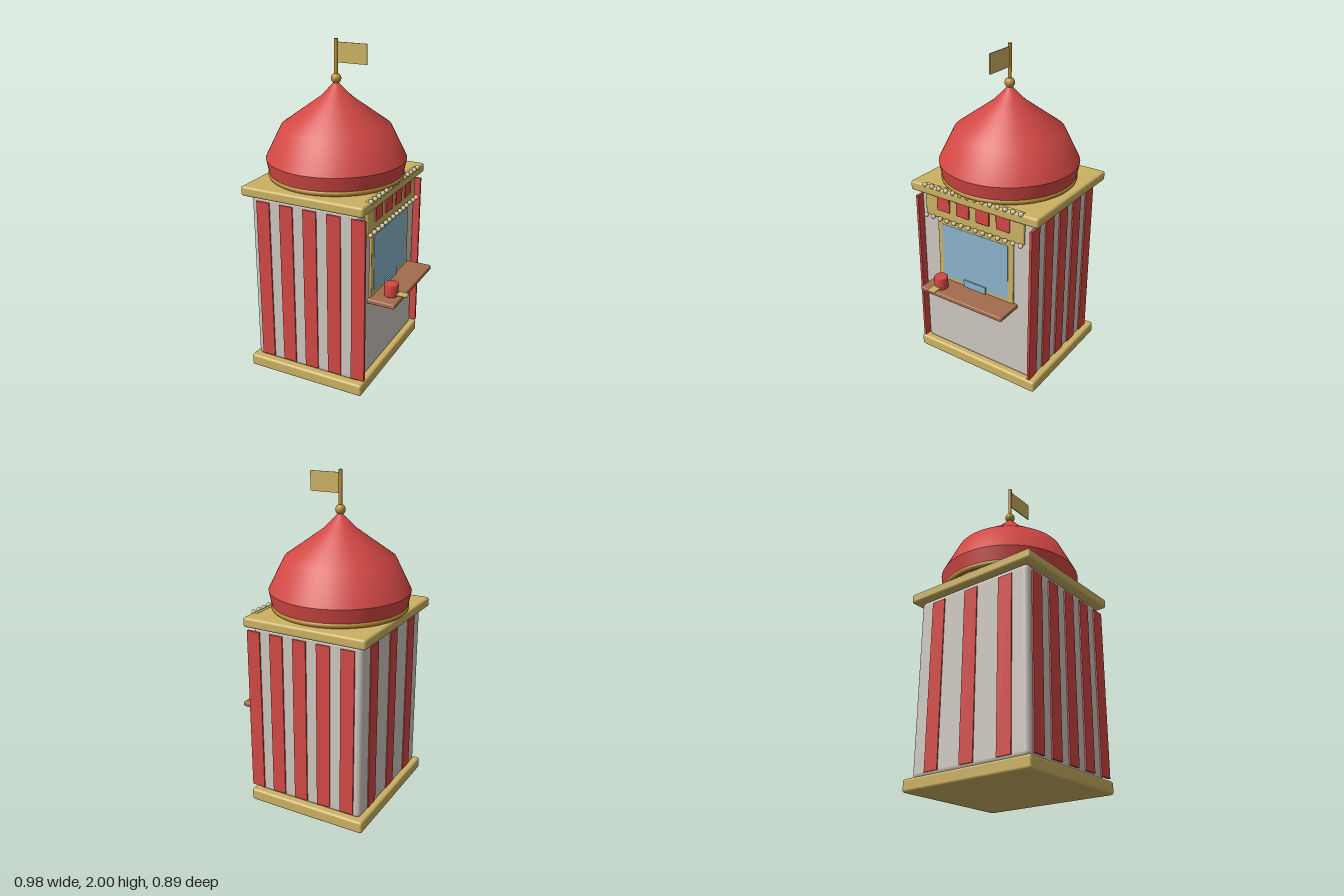
import * as THREE from 'three';
import { RoundedBoxGeometry } from 'three/addons/geometries/RoundedBoxGeometry.js';

const CX = -0.07; // centre line of the booth

function mat(name, color, side = THREE.FrontSide) {
  const m = new THREE.MeshStandardMaterial({ color, side });
  m.name = name;
  return m;
}

export function createModel() {
  const root = new THREE.Group();
  root.name = 'ticketBooth';

  const red = mat('red', 0xd24844);
  const cream = mat('warmWhite', 0xcdc7be);
  const paleGold = mat('paleGold', 0xcbb163);
  const gold = mat('gold', 0xb98f35);
  const blue = mat('glassBlue', 0x8ab4cc);
  const brown = mat('woodBrown', 0xa46c4c);
  const pearl = mat('bulbCream', 0xd2c7a0);

  const add = (name, geo, material, x, y, z, parent = root) => {
    const mesh = new THREE.Mesh(geo, material);
    mesh.name = name;
    mesh.position.set(x, y, z);
    parent.add(mesh);
    return mesh;
  };
  const group = (name) => {
    const g = new THREE.Group();
    g.name = name;
    root.add(g);
    return g;
  };
  // rounded box given by its lower and upper corners
  const block = (name, material, [x0, y0, z0], [x1, y1, z1], r, parent = root) =>
    add(name, new RoundedBoxGeometry(x1 - x0, y1 - y0, z1 - z0, 3, r), material,
      (x0 + x1) / 2, (y0 + y1) / 2, (z0 + z1) / 2, parent);

  // Base, walls and cornice
  block('base', paleGold, [-0.45, 0, -0.435], [0.31, 0.075, 0.435], 0.015);
  block('walls', cream, [-0.42, 0.07, -0.4], [0.28, 1.145, 0.4], 0.03);
  block('cornice', paleGold, [-0.46, 1.14, -0.445], [0.32, 1.2, 0.445], 0.015);

  // Painted stripes on the two sides and the rear wall
  const stripes = group('stripes');
  for (const s of [-1, 1]) {
    for (let i = 0; i < 5; i++) {
      add('sideStripe', new THREE.BoxGeometry(0.085, 1.015, 0.016), red,
        -0.337 + 0.153 * i, 0.603, s * 0.401, stripes);
    }
  }
  for (const z of [-0.25, 0, 0.25]) {
    add('rearStripe', new THREE.BoxGeometry(0.016, 1.015, 0.095), red, -0.418, 0.603, z, stripes);
  }

  // Domed roof: flared lower band and pointed crown
  const lathe = (pts) => new THREE.LatheGeometry(pts.map(([r, y]) => new THREE.Vector2(r, y)), 64);
  add('domeBand', lathe([[0.395, 1.2], [0.403, 1.235], [0.419, 1.315]]), red, CX, 0, 0);
  add('domeCrown', lathe([[0.419, 1.315], [0.325, 1.505], [0.095, 1.67], [0.012, 1.755], [0, 1.757]]),
    red, CX, 0, 0);
  const ring = add('domeRing', new THREE.TorusGeometry(0.39, 0.018, 12, 64), gold, CX, 1.218, 0);
  ring.rotation.x = Math.PI / 2;

  // Finial, pole and flag
  add('finialBall', new THREE.SphereGeometry(0.03, 20, 14), gold, CX, 1.777, 0);
  add('flagPole', new THREE.CylinderGeometry(0.011, 0.011, 0.25, 16), gold, CX, 1.875, 0);
  add('flag', new THREE.BoxGeometry(0.19, 0.115, 0.006), paleGold, 0.03, 1.925, 0);

  // Service window with a pass-through at the bottom
  block('windowFrame', paleGold, [0.26, 0.575, -0.27], [0.292, 1.02, 0.27], 0.006);
  add('windowGlass', new THREE.BoxGeometry(0.006, 0.36, 0.47), blue, 0.291, 0.78, 0);
  add('passThrough', new THREE.BoxGeometry(0.012, 0.045, 0.16), blue, 0.296, 0.602, 0);

  // Sign board with red panels and two rows of bulbs
  block('signBoard', paleGold, [0.283, 1.0, -0.347], [0.303, 1.205, 0.347], 0.008);
  const panels = group('signPanels');
  for (let i = 0; i < 4; i++) {
    add('signPanel', new RoundedBoxGeometry(0.014, 0.1, 0.092, 2, 0.005), red,
      0.305, 1.104, -0.21 + 0.14 * i, panels);
  }
  const bulbs = group('bulbs');
  const bulbGeo = new THREE.SphereGeometry(0.015, 8, 6);
  for (const y of [1.003, 1.2]) {
    for (let i = 0; i < 14; i++) {
      add('bulb', bulbGeo, pearl, 0.316, y, -0.335 + (0.67 / 13) * i, bulbs);
    }
  }

  // Counter with a cup and a ticket
  block('counter', brown, [0.27, 0.55, -0.295], [0.45, 0.58, 0.295], 0.008);
  add('cup', lathe([[0, 0], [0.037, 0], [0.042, 0.006], [0.042, 0.074], [0.037, 0.08], [0, 0.08]]),
    red, 0.385, 0.58, 0.187);
  add('ticket', new THREE.BoxGeometry(0.1, 0.004, 0.053), paleGold, 0.438, 0.6, 0.188);

  return root;
}
